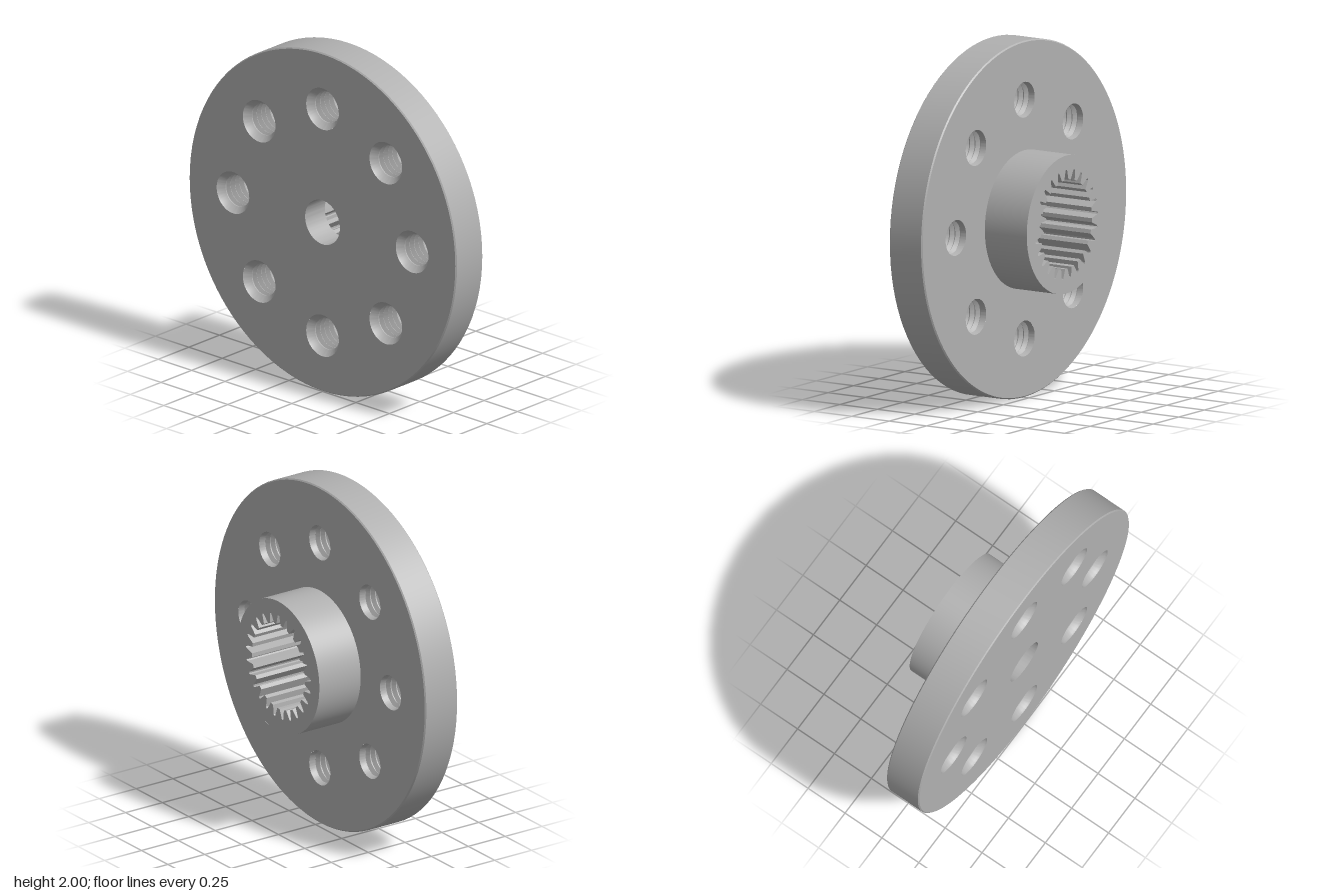
import * as THREE from 'three';
import { toCreasedNormals } from 'three/addons/utils/BufferGeometryUtils.js';

const SEG = 96;
const FRONT = 0.25, BACK = 0.03, HUB_END = -0.25, FLOOR = 0.09;
const HOLE_RING = 0.67, HOLES = 8, TEETH = 25;

export function createModel() {
  const group = new THREE.Group();
  const steel = new THREE.MeshStandardMaterial({ color: 0xb0b0b0 });
  steel.name = 'grey metal';

  const add = (name, geometry, x = 0, y = 0) => {
    const mesh = new THREE.Mesh(geometry, steel);
    mesh.name = name;
    mesh.position.set(x, y + 1, 0);
    group.add(mesh);
    return mesh;
  };

  // Surface of revolution about z; ascending z faces outward, descending faces inward
  const turned = (profile) => {
    const g = new THREE.LatheGeometry(profile.map(([r, z]) => new THREE.Vector2(r, z)), SEG);
    g.rotateX(Math.PI / 2);
    return toCreasedNormals(g, 0.5);
  };

  const circle = (Type, r, x = 0, y = 0) => {
    const p = new Type();
    p.absarc(x, y, r, 0, Math.PI * 2, false);
    return p;
  };

  const holeCentres = Array.from({ length: HOLES }, (_, i) => {
    const a = (i / HOLES) * Math.PI * 2;
    return [Math.cos(a) * HOLE_RING, Math.sin(a) * HOLE_RING];
  });

  // Flat flange face with the bolt holes cut out
  const flangeFace = (centreRadius, boltRadius) => {
    const s = circle(THREE.Shape, 0.993);
    s.holes.push(circle(THREE.Path, centreRadius));
    holeCentres.forEach(([x, y]) => s.holes.push(circle(THREE.Path, boltRadius, x, y)));
    return new THREE.ShapeGeometry(s, SEG);
  };

  add('flangeFrontFace', flangeFace(0.13, 0.122).translate(0, 0, FRONT));
  add('flangeBackFace', flangeFace(0.38, 0.1).rotateY(Math.PI).translate(0, 0, BACK));
  add('flangeRim', turned([
    [0.993, BACK], [1, BACK + 0.007], [1, FRONT - 0.007], [0.993, FRONT],
  ]));

  // Threaded bolt holes: countersunk mouth, then ridges down to the back
  const thread = [[0.122, FRONT], [0.118, FRONT - 0.012], [0.092, FRONT - 0.04]];
  const pitch = 0.036;
  for (let z = FRONT - 0.046; z - pitch > BACK; z -= pitch) {
    thread.push([0.092, z], [0.114, z - pitch * 0.42], [0.114, z - pitch * 0.56], [0.092, z - pitch * 0.95]);
  }
  thread.push([0.1, BACK]);
  const threadGeometry = turned(thread);
  holeCentres.forEach(([x, y], i) => add('threadedHole' + (i + 1), threadGeometry, x, y));

  // Hub with an internally toothed bore
  const hubShape = circle(THREE.Shape, 0.387);
  const bore = [];
  const rIn = 0.25, rOut = 0.308;
  for (let i = 0; i < TEETH; i++) {
    for (const [f, r] of [[-0.32, rIn], [-0.1, rOut - 0.006], [0, rOut], [0.1, rOut - 0.006], [0.32, rIn]]) {
      const a = Math.PI / 2 + ((i + f) / TEETH) * Math.PI * 2;
      bore.push(new THREE.Vector2(Math.cos(a) * r, Math.sin(a) * r));
    }
  }
  hubShape.holes.push(new THREE.Path(bore));
  const hub = new THREE.ExtrudeGeometry(hubShape, {
    depth: FLOOR - HUB_END, bevelEnabled: false, curveSegments: SEG,
  });
  add('splinedHub', toCreasedNormals(hub.translate(0, 0, HUB_END), 0.4));

  // Bore floor and the screw hole through the flange
  add('boreFloor', new THREE.RingGeometry(0.13, 0.34, SEG).rotateY(Math.PI).translate(0, 0, FLOOR));
  add('centreHole', turned([[0.13, FRONT], [0.13, FLOOR]]));

  return group;
}
